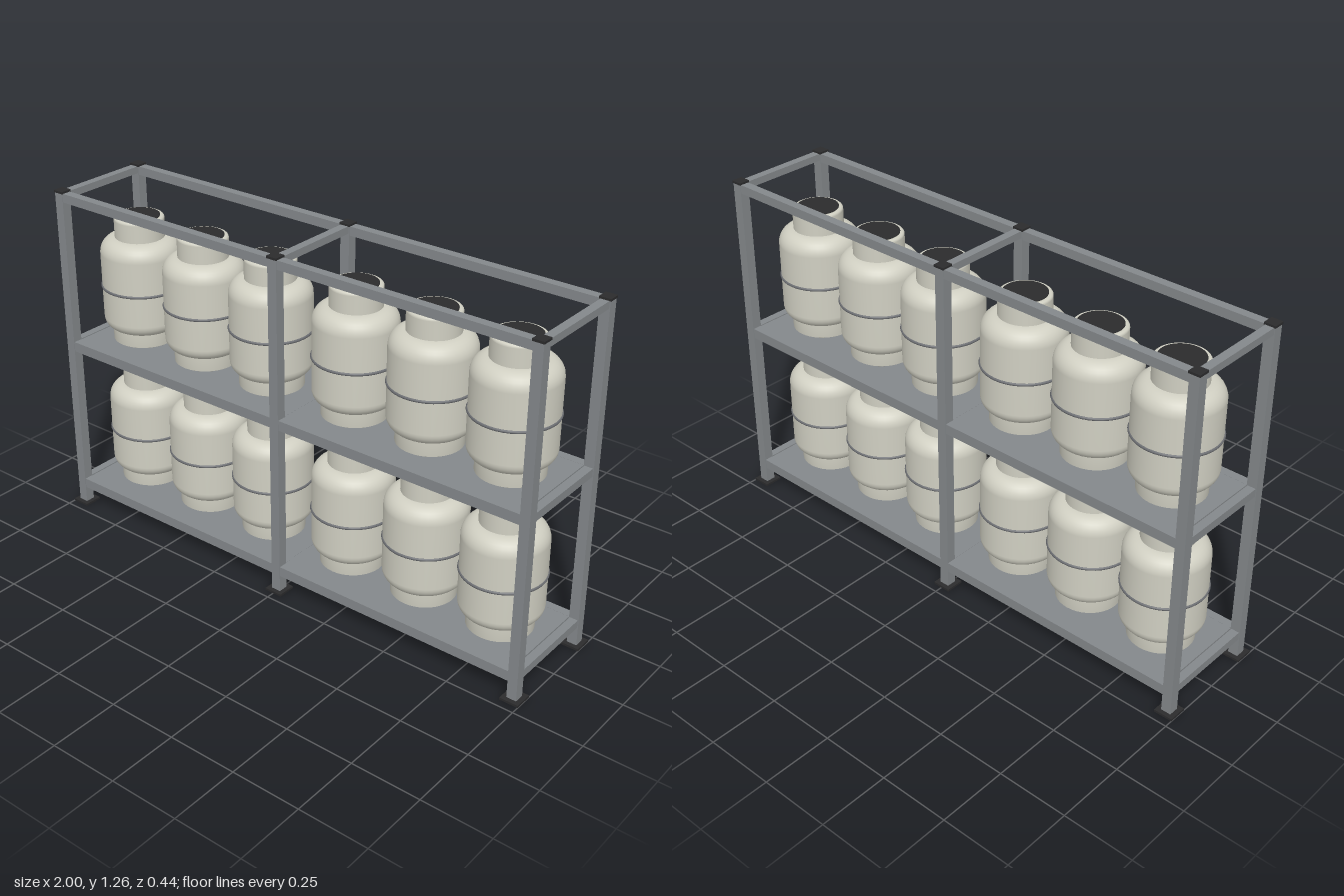
import * as THREE from 'three';

const mat = (name, color) => {
  const m = new THREE.MeshStandardMaterial({ color });
  m.name = name;
  return m;
};

export function createModel() {
  const steel = mat('grey steel', 0x84888b);
  const dark = mat('dark rubber', 0x2b2b2c);
  const paint = mat('off-white paint', 0xd0cfc2);
  const bandGrey = mat('band grey', 0x6d6f73);

  const root = new THREE.Group();
  root.name = 'cylinderRack';

  const box = (parent, name, material, w, h, d, x, y, z) => {
    const m = new THREE.Mesh(new THREE.BoxGeometry(w, h, d), material);
    m.name = name;
    m.position.set(x, y, z);
    parent.add(m);
  };

  const postX = [-0.966, 0, 0.966], postZ = 0.187, tube = 0.036;

  // Posts with foot plates and end caps
  const frame = new THREE.Group();
  frame.name = 'frame';
  root.add(frame);
  for (const x of postX) for (const s of [-1, 1]) {
    const z = s * postZ;
    box(frame, 'post', steel, tube, 1.242, tube, x, 0.629, z);
    box(frame, 'footPlate', dark, 0.068, 0.008, 0.068, x, 0.004, z);
    box(frame, 'postCap', dark, 0.041, 0.008, 0.041, x, 1.254, z);
  }

  // Long rails between posts and cross rails at each level
  const bayLength = 0.966 - tube;
  const railLevels = [[0.0885, 0.037], [0.6645, 0.037], [1.235, 0.032]];
  for (const [y, h] of railLevels) {
    for (const s of [-1, 1]) for (const bay of [-1, 1])
      box(frame, 'longRail', steel, bayLength, h, 0.032, bay * 0.483, y, s * postZ);
    for (const x of postX)
      box(frame, 'crossRail', steel, 0.03, h * 0.8, 2 * postZ - tube, x, y + h * 0.1, 0);
  }

  // Shelf plates, one per bay
  const shelfTops = [0.107, 0.683];
  for (const top of shelfTops) for (const bay of [-1, 1])
    box(root, 'shelf', steel, 0.932, 0.012, 0.344, bay * 0.481, top - 0.0065, 0);

  // Gas cylinder profiles, measured from the shelf surface
  const lathe = (pts) => new THREE.LatheGeometry(pts.map(p => new THREE.Vector2(...p)), 40);
  const arc = (cx, cy, rx, ry, from, to, n = 8) =>
    Array.from({ length: n + 1 }, (_, i) => {
      const a = from + (to - from) * i / n;
      return [cx + rx * Math.cos(a), cy + ry * Math.sin(a)];
    });
  const q = Math.PI / 2;
  const parts = [
    ['baseRing', paint, lathe([[0.108, 0], [0.114, 0.004], [0.114, 0.06]])],
    ['body', paint, lathe([
      [0.001, 0.05],
      ...arc(0.1, 0.095, 0.044, 0.045, -q, 0),
      ...arc(0.089, 0.337, 0.055, 0.057, 0, q),
      [0.08, 0.394],
    ])],
    ['collar', paint, lathe([
      [0.0895, 0.385], [0.0895, 0.459],
      ...arc(0.08, 0.46, 0.0095, 0.009, 0, q, 5),
      [0.072, 0.469],
    ])],
    ['collarTop', dark, new THREE.CylinderGeometry(0.075, 0.075, 0.008, 40).translate(0, 0.467, 0)],
    ['band', bandGrey, new THREE.TorusGeometry(0.143, 0.0055, 8, 40).rotateX(q).translate(0, 0.212, 0)],
  ];

  // Two shelves of six cylinders
  for (const top of shelfTops) for (const side of [-1, 1]) for (const x of [0.179, 0.482, 0.786]) {
    const cylinder = new THREE.Group();
    cylinder.name = 'gasCylinder';
    for (const [name, material, geometry] of parts) {
      const m = new THREE.Mesh(geometry, material);
      m.name = name;
      cylinder.add(m);
    }
    cylinder.position.set(side * x, top, 0);
    root.add(cylinder);
  }
  return root;
}
